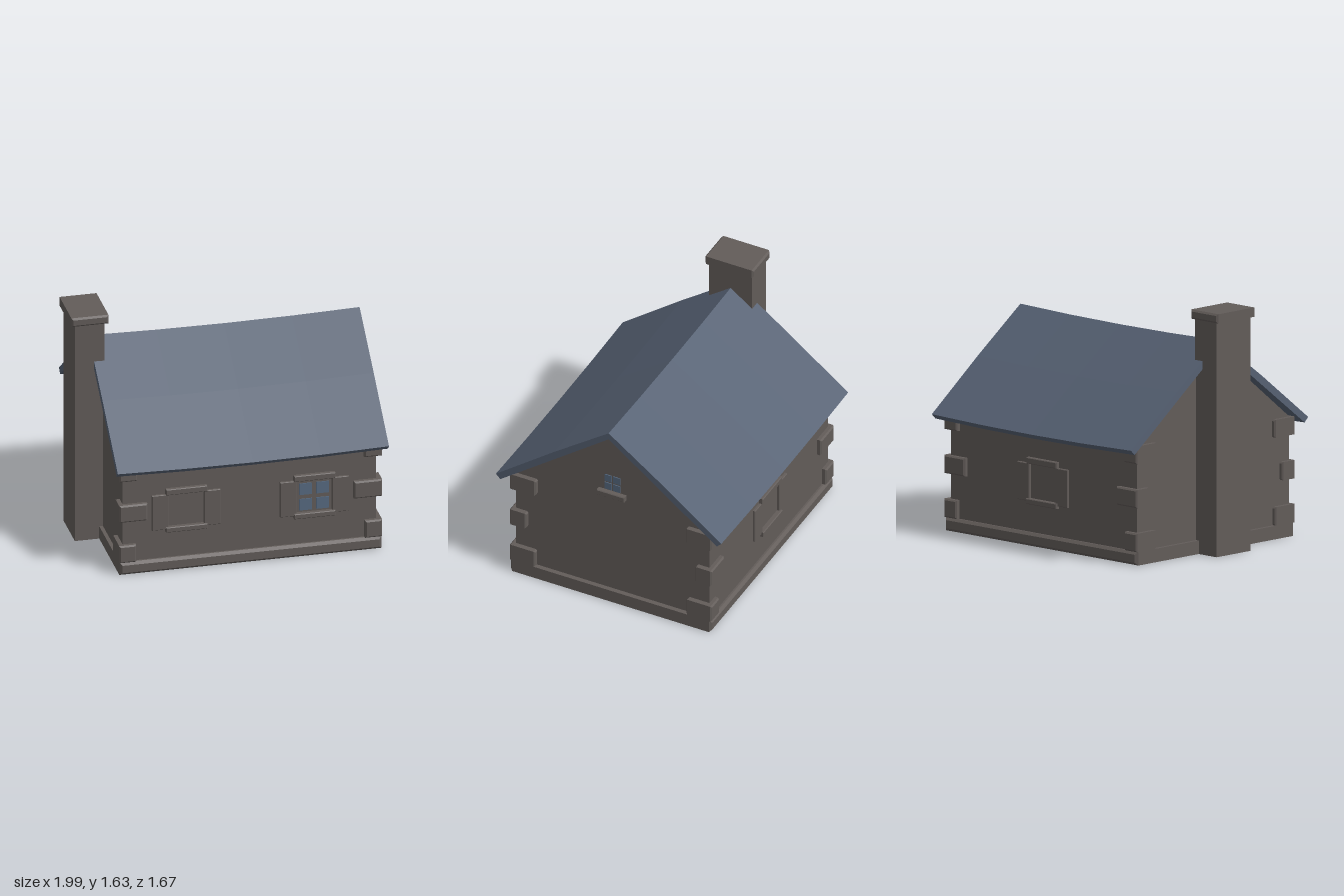
import * as THREE from 'three';

const stone = new THREE.MeshStandardMaterial({ color: 0x625c59, flatShading: true });
stone.name = 'stone';
const slate = new THREE.MeshStandardMaterial({ color: 0x566173, flatShading: true });
slate.name = 'slate';
const glass = new THREE.MeshStandardMaterial({ color: 0x566980, flatShading: true });
glass.name = 'glass';

function mesh(name, geometry, material, parent) {
  const m = new THREE.Mesh(geometry, material);
  m.name = name;
  parent.add(m);
  return m;
}

// Block with chamfered edges, given by its minimum and maximum corners
function block(name, a, b, parent, c = 0.01, material = stone) {
  const [w, h, d] = a.map((v, i) => b[i] - v);
  const s = new THREE.Shape();
  s.moveTo(c, c).lineTo(w - c, c).lineTo(w - c, h - c).lineTo(c, h - c).closePath();
  const g = new THREE.ExtrudeGeometry(s, {
    depth: d - 2 * c, bevelEnabled: true, bevelThickness: c, bevelSize: c, bevelSegments: 1,
  });
  g.translate(a[0], a[1], a[2] + c);
  return mesh(name, g, material, parent);
}

// Extrudes a [z, y] profile along x
function alongX(points, x0, x1, steps) {
  const s = new THREE.Shape(points.map(([z, y]) => new THREE.Vector2(z, y)));
  const g = new THREE.ExtrudeGeometry(s, { depth: x1 - x0, steps, bevelEnabled: false });
  return g.rotateY(Math.PI / 2).translate(x0, 0, 0);
}

// Four glass panes on the plane z = 0, centred on x = 0
function panes(x, y0, y1, gap, parent) {
  const w = x - gap, h = (y1 - y0) / 2 - gap;
  for (const sx of [-1, 1]) for (const sy of [-1, 1]) {
    const g = new THREE.BoxGeometry(w, h, 0.006);
    g.translate(sx * (gap / 2 + w / 2), (y0 + y1) / 2 + sy * (gap / 2 + h / 2), 0.003);
    mesh('windowPane', g, glass, parent);
  }
}

// Shuttered window facing +z
function shutteredWindow(glazed) {
  const g = new THREE.Group();
  g.name = 'shutteredWindow';
  block('lintel', [-0.14, 0.55, -0.01], [0.14, 0.592, 0.028], g, 0.005);
  block('sill', [-0.14, 0.28, -0.01], [0.14, 0.317, 0.032], g, 0.005);
  for (const s of [-1, 1]) {
    block('shutter', [s * 0.176 - 0.056, 0.298, -0.01], [s * 0.176 + 0.056, 0.552, 0.018], g, 0.004);
  }
  if (glazed) panes(0.115, 0.315, 0.54, 0.03, g);
  return g;
}

export function createModel() {
  const house = new THREE.Group();
  house.name = 'stoneCottage';

  // Walls with gables
  mesh('walls', alongX([
    [-0.715, 0], [0.715, 0], [0.715, 0.8], [0, 1.365], [-0.715, 0.8],
  ], -0.785, 0.93, 1), stone, house);

  // Plinth
  block('plinth', [-0.81, 0, -0.745], [0.963, 0.09, 0.745], house, 0.018);

  // Sagging slate roof
  const roof = alongX([
    [-0.8, 0.755], [0, 1.365], [0.8, 0.755], [0.833, 0.788],
    [0.4, 1.122], [0, 1.415], [-0.4, 1.122], [-0.833, 0.788],
  ], -0.845, 0.99, 4);
  const p = roof.attributes.position;
  for (let i = 0; i < p.count; i++) {
    const t = (p.getX(i) - 0.0725) / 0.9175;
    p.setY(i, p.getY(i) - 0.015 * (1 - t * t));
  }
  roof.computeVertexNormals();
  mesh('roof', roof, slate, house);

  // Corner stones, alternating long and short faces
  const courses = [[0.09, 0.215, 0.115, 0.19], [0.385, 0.508, 0.19, 0.125], [0.68, 0.8, 0.12, 0.195]];
  for (const sx of [-1, 1]) for (const sz of [-1, 1]) for (const [y0, y1, w, d] of courses) {
    const xo = sx > 0 ? 0.965 : -0.813;
    const zo = sz * 0.748;
    const xi = xo - sx * w, zi = zo - sz * d;
    block('cornerStone', [Math.min(xo, xi), y0, Math.min(zo, zi)],
      [Math.max(xo, xi), y1, Math.max(zo, zi)], house, 0.01);
  }

  // Chimney
  mesh('chimneyStack', new THREE.BoxGeometry(0.2, 1.58, 0.32).translate(-0.875, 0.79, 0), stone, house);
  block('chimneyCap', [-1, 1.57, -0.18], [-0.75, 1.633, 0.18], house, 0.012);

  // Front windows and the back window
  for (const [x, z, turn, glazed] of [
    [-0.357, 0.715, 0, false], [0.51, 0.715, 0, true], [0.072, -0.715, Math.PI, false],
  ]) {
    const w = shutteredWindow(glazed);
    w.position.set(x, 0, z);
    w.rotation.y = turn;
    house.add(w);
  }

  // Small gable window
  const attic = new THREE.Group();
  attic.name = 'gableWindow';
  block('gableSill', [-0.102, 0.855, -0.01], [0.102, 0.895, 0.035], attic, 0.005);
  panes(0.064, 0.895, 1.025, 0.012, attic);
  attic.position.x = 0.93;
  attic.rotation.y = Math.PI / 2;
  house.add(attic);

  return house;
}
